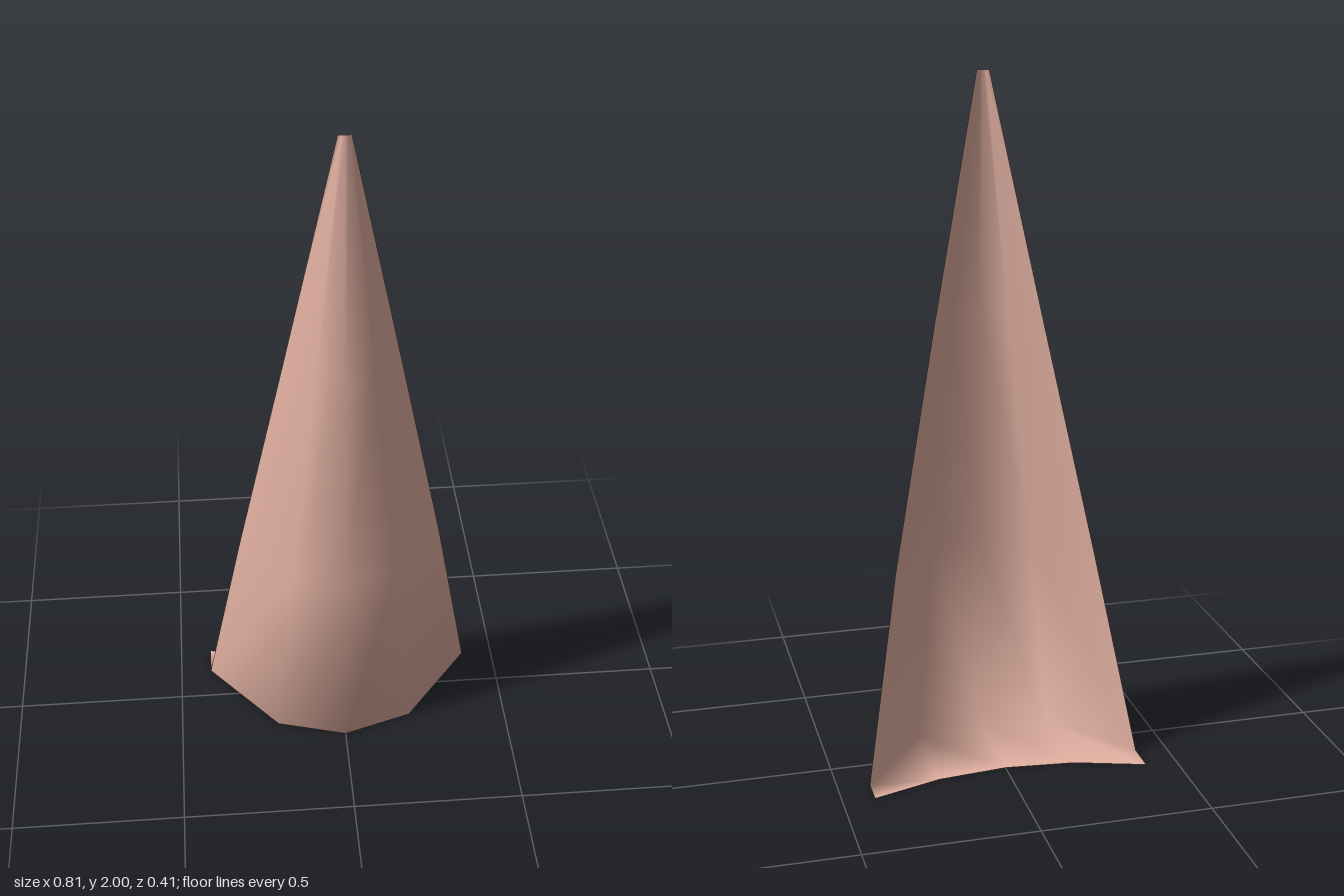
import * as THREE from 'three';

// Cross-sections from tip to base, then the rear edge of the foot.
// Each one: height, half width, and z at the centre, mid and outer columns.
const SECTIONS = [
  { y: 2.0, w: 0.018, z: [0.137, 0.136, 0.135] },
  { y: 1.3, w: 0.16, z: [0.185, 0.164, 0.07] },
  { y: 0.6, w: 0.3, z: [0.205, 0.162, -0.014] },
  { y: 0.0, w: 0.407, z: [0.203, 0.14, -0.118] },
  { y: 0.0, w: 0.407, z: [-0.12, -0.141, -0.206], rear: true },
];
const COLUMNS = [-2, -1, 0, 1, 2];

function loftSections() {
  const positions = [];
  const indices = [];
  const n = COLUMNS.length;
  SECTIONS.forEach(({ y, w, z, rear }, r) => {
    COLUMNS.forEach((c, i) => {
      const x = (w * c) / 2;
      const skew = rear ? 0 : -0.018 * x; // blade is turned very slightly
      positions.push(x, y, z[Math.abs(c)] + skew);
      if (r === SECTIONS.length - 1 || i === n - 1) return;
      const a = r * n + i;
      indices.push(a, a + n, a + 1, a + 1, a + n, a + n + 1);
    });
  });
  const geometry = new THREE.BufferGeometry();
  geometry.setAttribute('position', new THREE.Float32BufferAttribute(positions, 3));
  geometry.setIndex(indices);
  geometry.computeVertexNormals();
  return geometry;
}

export function createModel() {
  const group = new THREE.Group();
  group.name = 'curvedBlade';
  const material = new THREE.MeshStandardMaterial({ color: 0xe8b5a6, side: THREE.DoubleSide });

  // Thin curved blade with a flat foot folded back from its base
  const blade = new THREE.Mesh(loftSections(), material);
  blade.name = 'bladeAndFoot';
  group.add(blade);
  return group;
}
